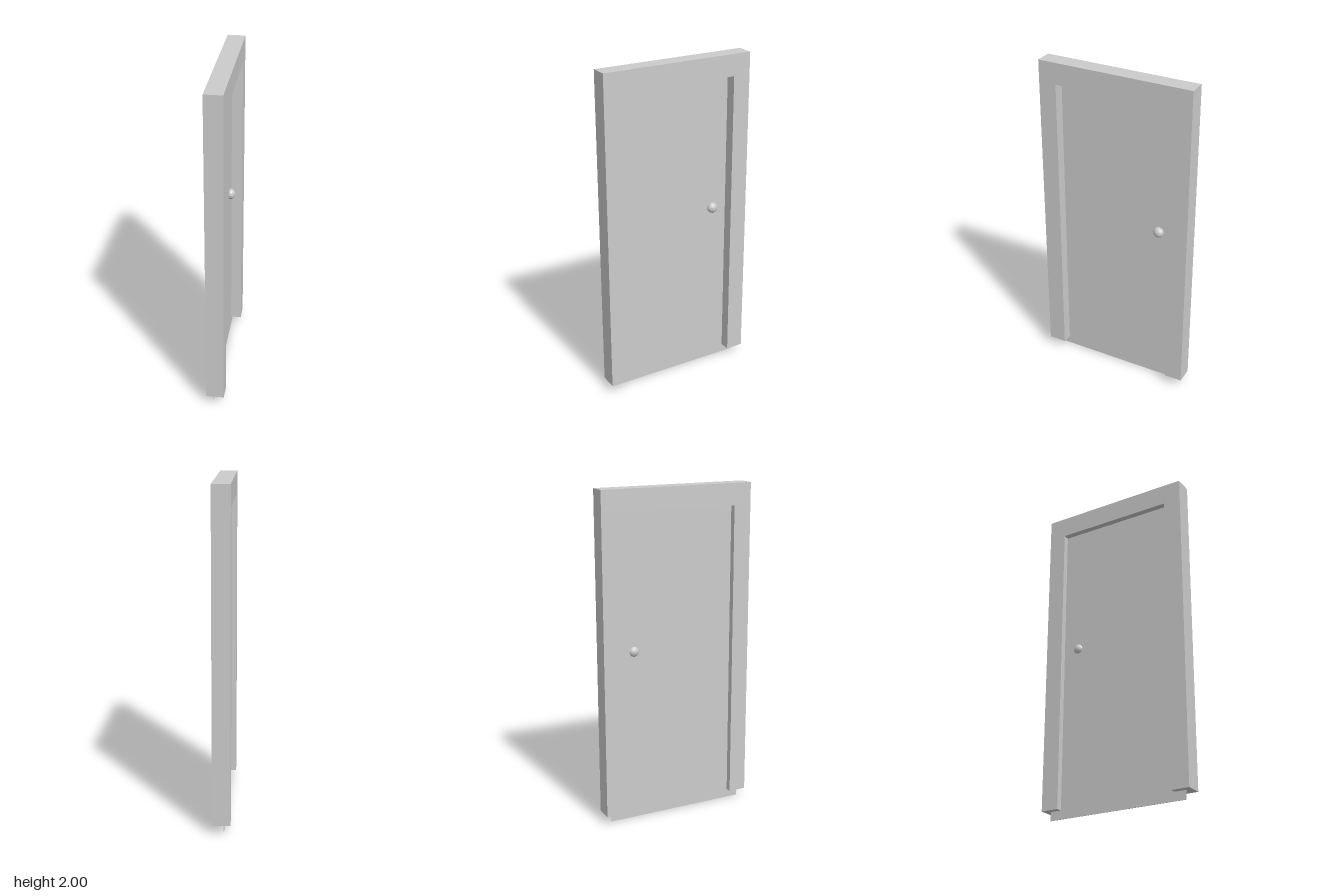
import * as THREE from 'three';

const material = new THREE.MeshStandardMaterial({ color: 0xcccccc, flatShading: true, side: THREE.DoubleSide });

function addPart(group, name, geometry, x, y, z) {
  const mesh = new THREE.Mesh(geometry, material);
  mesh.name = name;
  mesh.position.set(x, y, z);
  group.add(mesh);
  return mesh;
}

export function createModel() {
  const group = new THREE.Group();
  group.name = 'door';

  const depth = 0.106, doorX = -0.014;
  const outer = 0.476, inner = 0.368; // half widths of the frame and its opening
  const bottom = 0.053, head = 1.87, top = 2;

  // Frame: an upside-down U, extruded through the wall thickness
  const outline = new THREE.Shape([
    [-outer, bottom], [-inner, bottom], [-inner, head], [inner, head],
    [inner, bottom], [outer, bottom], [outer, top], [-outer, top],
  ].map(([u, v]) => new THREE.Vector2(u, v)));
  const frame = new THREE.ExtrudeGeometry(outline, { depth, bevelEnabled: false });
  frame.translate(0, 0, -depth / 2).rotateY(Math.PI / 2);
  addPart(group, 'frame', frame, 0, 0, 0);

  // Thin door leaf, tucked into the frame and reaching below it
  const leafHeight = 1.93;
  addPart(group, 'doorLeaf', new THREE.BoxGeometry(0.003, leafHeight, 0.876), doorX, leafHeight / 2, 0);

  // Flattened knob, showing on both sides of the leaf
  const knob = new THREE.SphereGeometry(0.033, 12, 8);
  knob.rotateZ(Math.PI / 2).scale(0.85, 1, 1);
  addPart(group, 'knob', knob, -0.005, 1.05, -0.27);

  return group;
}
